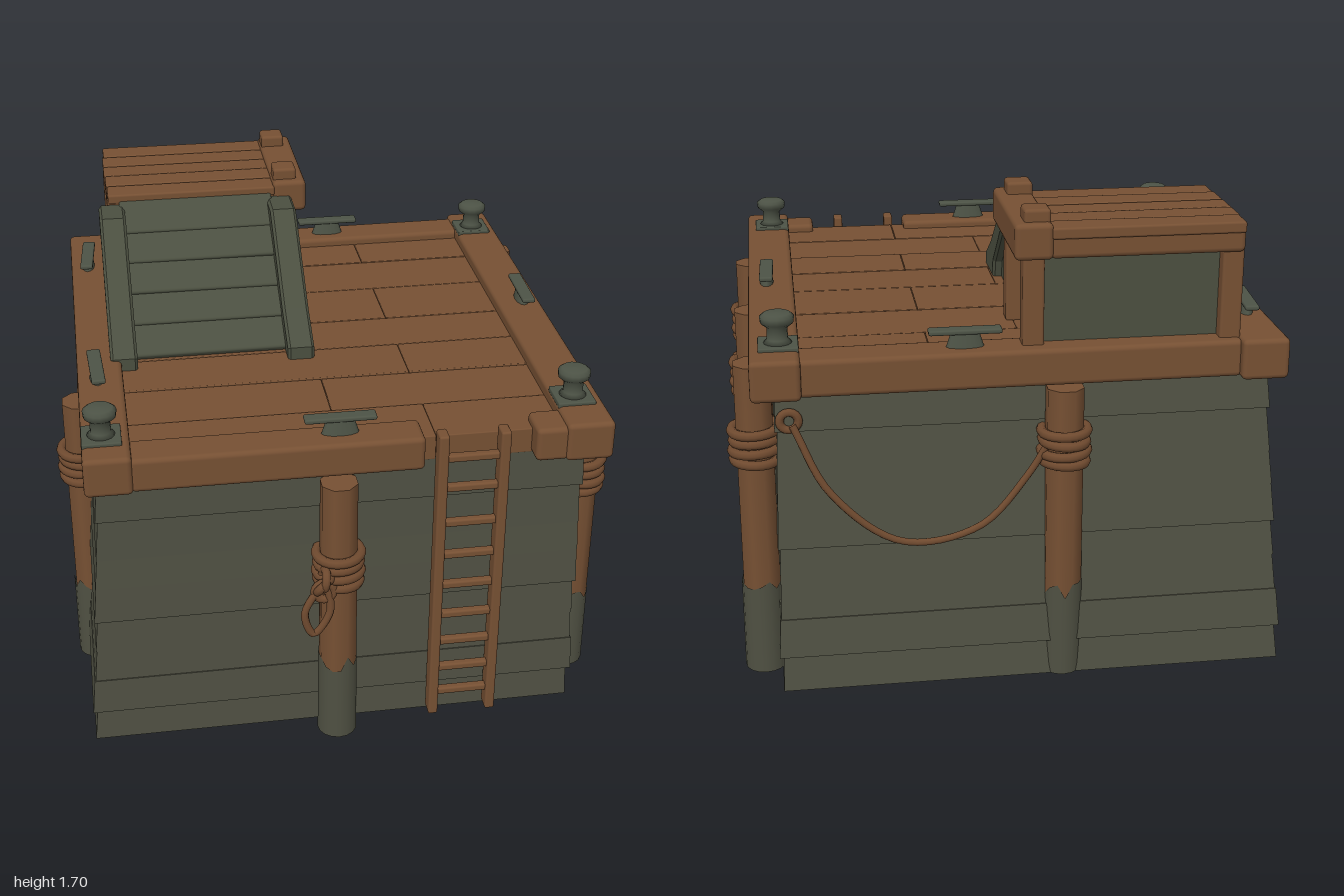
import * as THREE from 'three';
import { RoundedBoxGeometry } from 'three/addons/geometries/RoundedBoxGeometry.js';

const mat = (name, color, side = THREE.FrontSide) => {
  const m = new THREE.MeshStandardMaterial({ color, side });
  m.name = name;
  return m;
};

export function createModel() {
  const root = new THREE.Group();
  root.name = 'dockPlatform';
  const wood = mat('brown wood', 0x765033);
  const rope = mat('rope', 0x6f4a2f);
  const green = mat('mossy wood', 0x4f5042, THREE.DoubleSide);
  const stairGreen = mat('weathered green wood', 0x4b4f40);
  const metal = mat('dull metal', 0x4d5346);

  let seed = 7;
  const rnd = () => ((seed = (seed * 16807) % 2147483647) / 2147483647) - 0.5;

  const add = (name, geo, material, parent = root) => {
    const m = new THREE.Mesh(geo, material);
    m.name = name;
    parent.add(m);
    return m;
  };
  // Rounded timber given by its limits on each axis
  const timber = (name, x0, x1, y0, y1, z0, z1, material = wood, r = 0.018) => {
    const s = [x1 - x0, y1 - y0, z1 - z0];
    const m = add(name, new RoundedBoxGeometry(...s, 2, Math.min(r, Math.min(...s) * 0.4)), material);
    m.position.set((x0 + x1) / 2, (y0 + y1) / 2, (z0 + z1) / 2);
    return m;
  };
  const tube = (name, pts, r = 0.013, closed = false) => {
    const curve = new THREE.CatmullRomCurve3(pts.map(p => new THREE.Vector3(...p)), closed);
    return add(name, new THREE.TubeGeometry(curve, 32, r, 8, closed), rope);
  };

  // Hull: lapped plank rows, open below, back and -x walls leaning outwards
  const ys = [0.01, 0.14, 0.28, 0.41, 0.54, 0.68, 0.8, 0.96, 1.12];
  const rings = [];
  const ring = (y, o) => {
    const t = 1 - (y - 0.01) / 1.11;
    const x0 = -0.87 - 0.075 * t - o, x1 = 0.83 + 0.02 * t + o;
    const z0 = -0.86 - 0.11 * t - o, z1 = 0.85 + o;
    rings.push([[x0, y, z1], [x1, y, z1], [x1, y, z0], [x0, y, z0]]);
  };
  for (let i = 0; i < ys.length - 1; i++) {
    const o = rnd() * 0.012;
    ring(ys[i], o + 0.004);
    ring(ys[i + 1], o);
  }
  const hull = [];
  const quad = (a, b, c, d) => hull.push(...a, ...b, ...c, ...a, ...c, ...d);
  for (let i = 0; i < rings.length - 1; i++) {
    for (let k = 0; k < 4; k++) {
      const n = (k + 1) % 4;
      quad(rings[i][k], rings[i][n], rings[i + 1][n], rings[i + 1][k]);
    }
  }
  quad(...rings[rings.length - 1]);
  const hullGeo = new THREE.BufferGeometry();
  hullGeo.setAttribute('position', new THREE.Float32BufferAttribute(hull, 3));
  hullGeo.computeVertexNormals();
  add('hull', hullGeo, green);

  // Deck planks
  const rows = [-0.87, -0.62, -0.36, -0.08, 0.15, 0.38, 0.62, 0.855];
  for (let i = 0; i < rows.length - 1; i++) {
    const split = i % 2 ? -0.03 : 0.3;
    const top = 1.205 + rnd() * 0.006;
    timber('deckPlank', -0.82, split - 0.001, 1.11, top, rows[i] + 0.001, rows[i + 1] - 0.001, wood, 0.004);
    timber('deckPlank', split + 0.001, 0.82, 1.11, top, rows[i] + 0.001, rows[i + 1] - 0.001, wood, 0.004);
  }

  // Edge beams, with a gap for the ladder
  timber('rightBeam', -0.915, -0.75, 1.105, 1.25, -0.99, 0.93);
  timber('leftBeam', 0.745, 0.915, 1.105, 1.25, -0.99, 0.935);
  timber('backBeam', -0.76, 0.76, 1.108, 1.24, -0.96, -0.81).rotation.y = 0.008;
  timber('frontBeam', -0.76, 0.25, 1.108, 1.235, 0.775, 0.92);
  timber('frontBeamStub', 0.64, 0.76, 1.108, 1.235, 0.78, 0.925);

  // Piles with a wet foot and rope windings
  const pile = (x, z, top, wrapY) => {
    const g = new THREE.Group();
    g.name = 'pile';
    g.position.set(x, 0, z);
    root.add(g);
    const shaft = new THREE.CylinderGeometry(0.068, 0.07, top - 0.3, 8);
    shaft.rotateY(Math.PI / 8);
    add('pileShaft', shaft, wood, g).position.y = (top + 0.3) / 2;
    const foot = new THREE.CylinderGeometry(0.0715, 0.073, 0.33, 16, 1, true);
    const p = foot.attributes.position;
    for (let i = 0; i < 16; i++) p.setY(i, p.getY(i) + rnd() * 0.06);
    p.setY(16, p.getY(0));
    add('wetFoot', foot, green, g).position.y = 0.175;
    for (let i = 0; i < 4; i++) {
      const w = add('ropeWinding', new THREE.TorusGeometry(0.076 + (i % 2) * 0.004, 0.018, 8, 24), rope, g);
      w.position.y = wrapY + i * 0.037;
      w.rotation.set(Math.PI / 2 + rnd() * 0.12, rnd() * 0.12, 0);
    }
  };
  pile(0.908, 0.607, 1.13, 0.81);
  pile(0.908, -0.075, 1.14, 0.82);
  pile(0.908, -0.755, 1.17, 0.82);
  pile(-0.048, 0.9, 1.08, 0.68);
  pile(-0.915, 0.28, 1.13, 0.82);
  pile(-0.15, -0.912, 1.09, 0.82);

  // Hanging ropes
  tube('hangingRope', [[0.93, 0.56, 0.83].map((v, i) => [0.93, 0.83, 0.55][i]), [0.95, 0.7, 0.45], [0.95, 0.615, 0.31], [0.95, 0.7, 0.14], [0.93, 0.92, 0.02]]);
  tube('hangingRope', [[0.92, 0.91, -0.14], [0.9, 0.75, -0.23], [0.88, 0.65, -0.38], [0.88, 0.64, -0.47], [0.9, 0.73, -0.6], [0.92, 0.85, -0.7]]);
  tube('hangingRope', [[0.78, 0.99, -0.9], [0.66, 0.75, -0.94], [0.42, 0.56, -0.95], [0.15, 0.6, -0.95], [-0.02, 0.78, -0.94], [-0.1, 0.92, -0.95]]);
  tube('hangingRope', [[-0.92, 0.92, 0.22], [-0.94, 0.72, 0.12], [-0.945, 0.6, -0.08], [-0.94, 0.62, -0.28], [-0.92, 0.76, -0.43], [-0.9, 0.94, -0.53]]);
  // Rope ends tied to the walls
  const tie = (x, y, z, ry) => {
    const t = add('ropeTie', new THREE.TorusGeometry(0.032, 0.015, 8, 16), rope);
    t.position.set(x, y, z);
    t.rotation.y = ry;
  };
  tie(0.79, 1.0, -0.885, 0);
  tie(-0.895, 0.95, -0.53, Math.PI / 2);
  tie(0.975, 0.9, 0.0, Math.PI / 2);

  // Knots with a hanging loop
  const knot = (x, y, z, ry, lean) => {
    const g = new THREE.Group();
    g.name = 'knot';
    for (let i = 0; i < 3; i++) {
      const k = add('knotTurn', new THREE.TorusGeometry(0.034, 0.016, 8, 16), rope, g);
      k.rotation.set(0.9 * i, 0.7 * i, 0);
      k.position.y = i * 0.025 - 0.02;
    }
    g.add(tube('knotLoop', [[0, 0, 0], [-0.045 + lean, -0.1, 0.01], [lean * 1.6, -0.19, 0.015], [0.045 + lean, -0.1, 0.01]], 0.014, true));
    g.position.set(x, y, z);
    g.rotation.y = ry;
    root.add(g);
  };
  knot(0.88, 0.64, -0.39, Math.PI / 2, 0);
  knot(-0.11, 0.7, 0.975, 0, -0.025);

  // Ladder
  for (const x of [0.312, 0.529]) timber('ladderRail', x - 0.018, x + 0.018, 0.04, 1.24, 0.865, 0.93, wood, 0.008);
  for (const y of [0.13, 0.24, 0.36, 0.48, 0.61, 0.74, 0.875, 1.02, 1.14]) {
    timber('ladderRung', 0.31, 0.53, y - 0.014, y + 0.014, 0.885, 0.915, wood, 0.008);
  }

  // Bollards
  const bollardProfile = [[0, 0], [0.055, 0], [0.036, 0.02], [0.034, 0.06], [0.056, 0.078], [0.058, 0.1], [0.045, 0.11], [0, 0.112]]
    .map(p => new THREE.Vector2(...p));
  for (const [x, z] of [[-0.845, 0.77], [0.815, 0.73], [0.815, -0.82]]) {
    timber('bollardPlate', x - 0.068, x + 0.068, 1.24, 1.262, z - 0.068, z + 0.068, metal, 0.005);
    add('bollard', new THREE.LatheGeometry(bollardProfile, 16), metal).position.set(x, 1.255, z);
  }

  // Cleats
  for (const [x, z, ry] of [[-0.845, -0.66, 1.5], [-0.845, 0.34, 1.62], [0.845, -0.085, 1.55], [0.19, -0.885, 0], [-0.035, 0.835, 0]]) {
    const g = new THREE.Group();
    g.name = 'cleat';
    const bar = add('cleatBar', new RoundedBoxGeometry(0.25, 0.018, 0.05, 2, 0.007), metal, g);
    bar.position.y = 0.054;
    const base = new THREE.CylinderGeometry(0.04, 0.055, 0.055, 12);
    base.scale(1.2, 1, 0.5);
    add('cleatBase', base, metal, g).position.y = 0.022;
    g.position.set(x, 1.242, z);
    g.rotation.y = ry;
    root.add(g);
  }

  // Hatch: side profiles in (z, y) extruded along x
  const side = (name, pts, x0, depth, bevel) => {
    const shape = new THREE.Shape(pts.map(p => new THREE.Vector2(...p)));
    const geo = new THREE.ExtrudeGeometry(shape, {
      depth: depth - 2 * bevel, bevelEnabled: bevel > 0, bevelSize: bevel, bevelThickness: bevel, bevelOffset: -bevel, bevelSegments: 1,
    });
    geo.rotateY(-Math.PI / 2);
    geo.translate(x0 + depth - bevel, 0, 0);
    add(name, geo, stairGreen);
  };
  const railPts = [[0.22, 1.2], [0.22, 1.255], [0.07, 1.345], [-0.27, 1.612], [-0.41, 1.612], [-0.41, 1.49], [-0.25, 1.49], [0.0, 1.27], [0.02, 1.2]];
  const panelPts = [[0.08, 1.2], [-0.26, 1.53], [-0.86, 1.57], [-0.86, 1.2]];
  for (const x of [-0.79, -0.13]) side('hatchRail', railPts, x, 0.1, 0.01);
  for (const x of [-0.74, -0.1]) side('hatchPanel', panelPts, x, 0.035, 0);
  timber('hatchBackPanel', -0.74, -0.07, 1.2, 1.57, -0.87, -0.84, stairGreen, 0.005);

  // Sloping hatch boards
  for (let i = 0; i < 5; i++) {
    const b = timber('hatchBoard', -0.71, -0.11, 0, 0.03, 0, 0.15, stairGreen, 0.01);
    b.position.set(-0.41, 1.255 + i * 0.08, 0.075 - i * 0.108);
    b.rotation.x = 0.56 + rnd() * 0.1;
    b.rotation.z = rnd() * 0.015;
  }

  // Roof with posts and beams
  for (const [x, z] of [[-0.04, -0.49], [-0.04, -0.87], [-0.72, -0.88]]) {
    timber('roofPost', x - 0.037, x + 0.037, 1.2, 1.58, z - 0.037, z + 0.037, wood, 0.01);
  }
  timber('roofSideBeam', -0.1, 0.03, 1.545, 1.67, -0.945, -0.405);
  timber('roofSideBeam', -0.755, -0.68, 1.545, 1.635, -0.935, -0.41);
  timber('roofBackBeam', -0.75, -0.09, 1.545, 1.635, -0.935, -0.86);
  for (let i = 0; i < 5; i++) {
    const z = -0.945 + i * 0.108;
    timber('roofPlank', -0.755 + rnd() * 0.008, -0.095, 1.615, 1.652 + rnd() * 0.006, z, z + 0.106, wood, 0.008);
  }
  for (const z of [-0.865, -0.485]) timber('roofPeg', -0.095, -0.005, 1.6, 1.712, z - 0.048, z + 0.048, wood, 0.012);

  return root;
}
